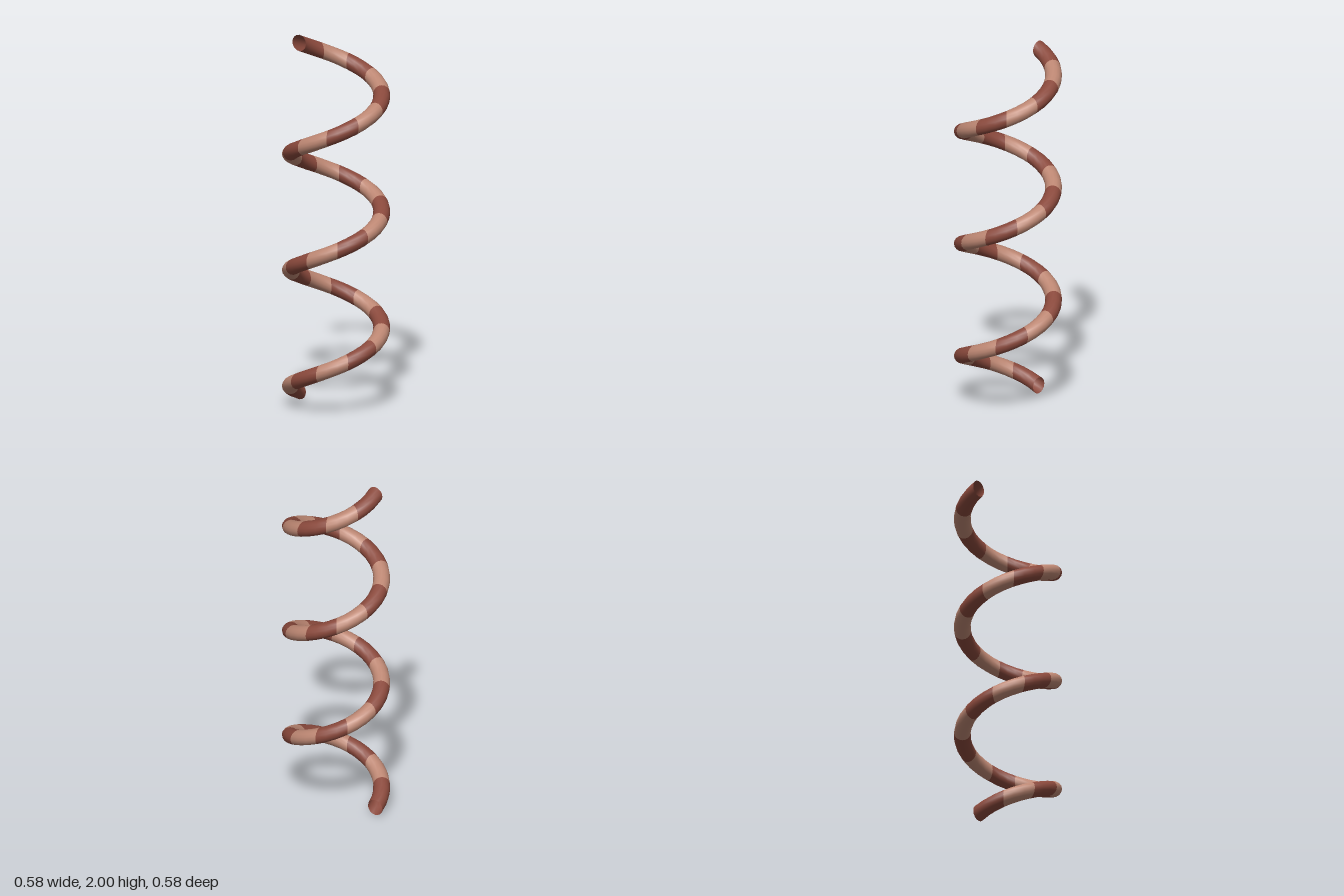
import * as THREE from 'three';
import { ParametricGeometry } from 'three/addons/geometries/ParametricGeometry.js';

const COIL_RADIUS = 0.244;   // axis to centre of the tube
const TUBE_RADIUS = 0.045;
const TURNS = 3;
const BANDS = 31;            // alternating stripes, dark at both ends
const STEPS_PER_BAND = 3;
const SIDES = 16;
const START = THREE.MathUtils.degToRad(215);

// Point on the coil's surface: t runs 0..1 up the helix, v runs 0..1 round the tube.
// Each cross-section is an upright circle that contains the coil's axis direction.
function coilPoint(t, v, target) {
  const a = START - t * TURNS * Math.PI * 2;
  const phi = v * Math.PI * 2;
  const r = COIL_RADIUS + TUBE_RADIUS * Math.cos(phi);
  const y = TUBE_RADIUS + t * (2 - 2 * TUBE_RADIUS) + TUBE_RADIUS * Math.sin(phi);
  target.set(r * Math.cos(a), y, r * Math.sin(a));
}

export function createModel() {
  const dark = new THREE.MeshStandardMaterial({ color: 0x8a493c, side: THREE.DoubleSide });
  dark.name = 'russet brown';
  const light = new THREE.MeshStandardMaterial({ color: 0xbc8672, side: THREE.DoubleSide });
  light.name = 'dusty tan';

  const coil = new THREE.Group();
  coil.name = 'stripedCoil';

  // Hollow, open-ended tube made of striped bands
  for (let i = 0; i < BANDS; i++) {
    const geometry = new ParametricGeometry(
      (u, v, target) => coilPoint((i + u) / BANDS, v, target),
      STEPS_PER_BAND, SIDES
    );
    const isDark = i % 2 === 0;
    const band = new THREE.Mesh(geometry, isDark ? dark : light);
    band.name = (isDark ? 'darkBand' : 'lightBand') + (i + 1);
    coil.add(band);
  }
  return coil;
}
